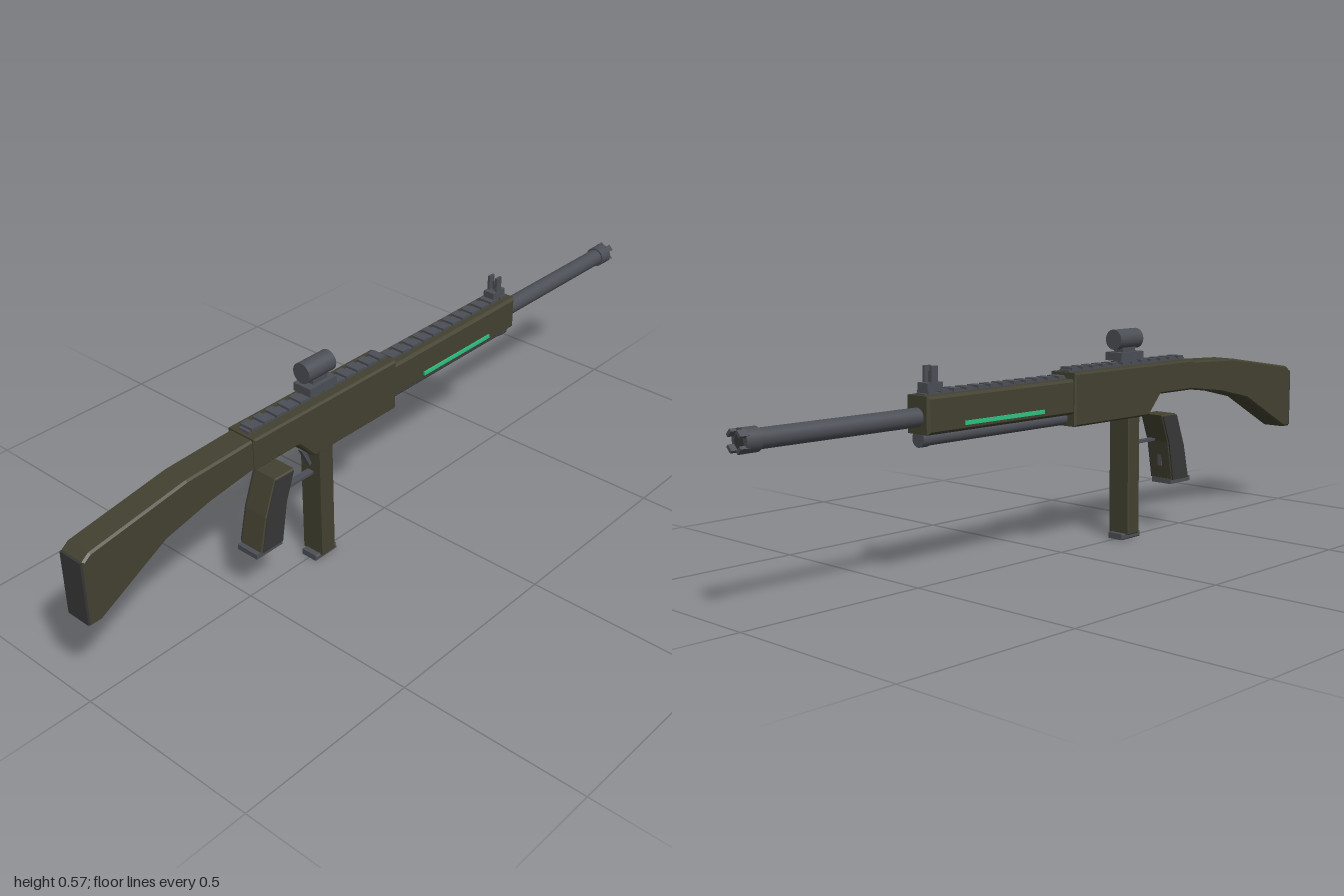
import * as THREE from 'three';

const mat = (name, color) => {
  const m = new THREE.MeshStandardMaterial({ color });
  m.name = name;
  return m;
};

export function createModel() {
  const olive = mat('olive', 0x424130);
  const metal = mat('gunmetal', 0x4b4e55);
  const dark = mat('rubber', 0x373737);
  const green = mat('green', 0x2ec482);
  const root = new THREE.Group();
  root.name = 'longGun';

  const add = (name, geo, material, x = 0, y = 0, z = 0) => {
    const m = new THREE.Mesh(geo, material);
    m.name = name;
    m.position.set(x, y, z);
    root.add(m);
    return m;
  };
  // box from its y and z limits, centred on x
  const box = (name, material, width, y0, y1, z0, z1, x = 0) =>
    add(name, new THREE.BoxGeometry(width, y1 - y0, z1 - z0), material, x, (y0 + y1) / 2, (z0 + z1) / 2);
  // side profile of [z, y] points, extruded across x with a small bevel
  const slab = (name, material, width, pts, bevel = 0.005, x = 0) => {
    const shape = new THREE.Shape(pts.map(p => new THREE.Vector2(p[0], p[1])));
    const depth = width - 2 * bevel;
    const geo = new THREE.ExtrudeGeometry(shape, {
      depth, bevelEnabled: bevel > 0, bevelThickness: bevel, bevelSize: bevel,
      bevelOffset: -bevel, bevelSegments: 1,
    });
    geo.translate(0, 0, -depth / 2).rotateY(-Math.PI / 2);
    return add(name, geo, material, x);
  };
  // cylinder lying along z
  const tube = (name, material, r, y, z0, z1) =>
    add(name, new THREE.CylinderGeometry(r, r, z1 - z0, 32).rotateX(Math.PI / 2), material, 0, y, (z0 + z1) / 2);

  // stock and butt pad
  slab('stock', olive, 0.076, [[0.49, 0.39], [0.64, 0.37], [0.77, 0.34], [0.965, 0.235],
    [0.995, 0.235], [0.995, 0.405], [0.975, 0.42], [0.7, 0.462], [0.49, 0.47]]);
  box('buttPad', dark, 0.068, 0.238, 0.404, 0.991, 1.0);

  // receiver and handguard
  slab('receiver', olive, 0.09, [[0.005, 0.335], [0.305, 0.335], [0.355, 0.39], [0.5, 0.39],
    [0.5, 0.474], [0.005, 0.474]]);
  slab('handguard', olive, 0.08, [[-0.495, 0.367], [0.01, 0.367], [0.01, 0.458], [-0.495, 0.458]], 0.007);
  for (const s of [-1, 1]) box('lightStrip', green, 0.005, 0.381, 0.391, -0.38, -0.108, s * 0.0415);

  // lower tube with end cap
  tube('lowerTube', metal, 0.017, 0.354, -0.48, 0.01);
  tube('lowerTubeCap', metal, 0.02, 0.355, -0.493, -0.47);

  // barrel and crowned muzzle
  tube('barrel', metal, 0.023, 0.407, -0.98, -0.48);
  tube('muzzle', metal, 0.028, 0.407, -0.985, -0.945);
  for (let i = 0; i < 4; i++) {
    const a = Math.PI / 4 + i * Math.PI / 2;
    const tooth = add('muzzleTooth', new THREE.BoxGeometry(0.018, 0.008, 0.022), metal,
      Math.sin(a) * 0.024, 0.407 + Math.cos(a) * 0.024, -0.989);
    tooth.rotation.z = -a;
  }
  tube('bore', dark, 0.016, 0.407, -0.987, -0.98);

  // top rails with cross teeth
  const rail = (name, y, z0, z1, n) => {
    box(name, metal, 0.032, y, y + 0.007, z0, z1);
    const step = (z1 - z0) / n;
    for (let i = 0; i < n; i++) {
      const z = z0 + (i + 0.5) * step;
      box(name + 'Tooth', metal, 0.04, y + 0.005, y + 0.013, z - step * 0.3, z + step * 0.3);
    }
  };
  rail('receiverRail', 0.473, 0.01, 0.49, 12);
  rail('handguardRail', 0.455, -0.485, 0.0, 12);

  // optic
  box('opticClamp', metal, 0.036, 0.482, 0.492, 0.225, 0.275);
  box('opticBase', metal, 0.056, 0.489, 0.511, 0.205, 0.297);
  box('opticNeck', metal, 0.032, 0.509, 0.528, 0.225, 0.275);
  tube('opticTube', metal, 0.027, 0.545, 0.205, 0.297);

  // front sight
  box('frontSightBase', metal, 0.034, 0.465, 0.486, -0.477, -0.428);
  for (const x of [-0.012, 0.012]) box('frontSightEar', metal, 0.007, 0.48, 0.525, -0.462, -0.442, x);
  box('frontSightPost', metal, 0.006, 0.48, 0.512, -0.456, -0.448);

  // magazine
  slab('magazine', olive, 0.07, [[0.23, 0.013], [0.276, 0.013], [0.276, 0.34], [0.23, 0.34]], 0.003);
  slab('magazineBase', metal, 0.052, [[0.215, 0], [0.292, 0], [0.292, 0.016], [0.215, 0.016]], 0.003);

  // grip with dark side panels
  const gripPts = [[0.418, 0.14], [0.49, 0.14], [0.468, 0.235], [0.432, 0.328], [0.368, 0.328], [0.398, 0.25]];
  slab('grip', olive, 0.074, gripPts, 0.004);
  for (const s of [-1, 1]) slab('gripPanel', dark, 0.004, gripPts.map(([z, y]) =>
    [z + (0.43 - z) * 0.07, y + (0.235 - y) * 0.03]), 0, s * 0.0375);
  box('gripBase', metal, 0.066, 0.129, 0.143, 0.415, 0.502);

  // trigger, guard bar and thin blade before the grip
  slab('trigger', metal, 0.012, [[0.278, 0.285], [0.284, 0.28], [0.312, 0.336], [0.298, 0.336]], 0);
  box('guardBar', metal, 0.02, 0.255, 0.262, 0.27, 0.372);
  box('guardBlade', metal, 0.012, 0.18, 0.3, 0.405, 0.409);
  return root;
}
